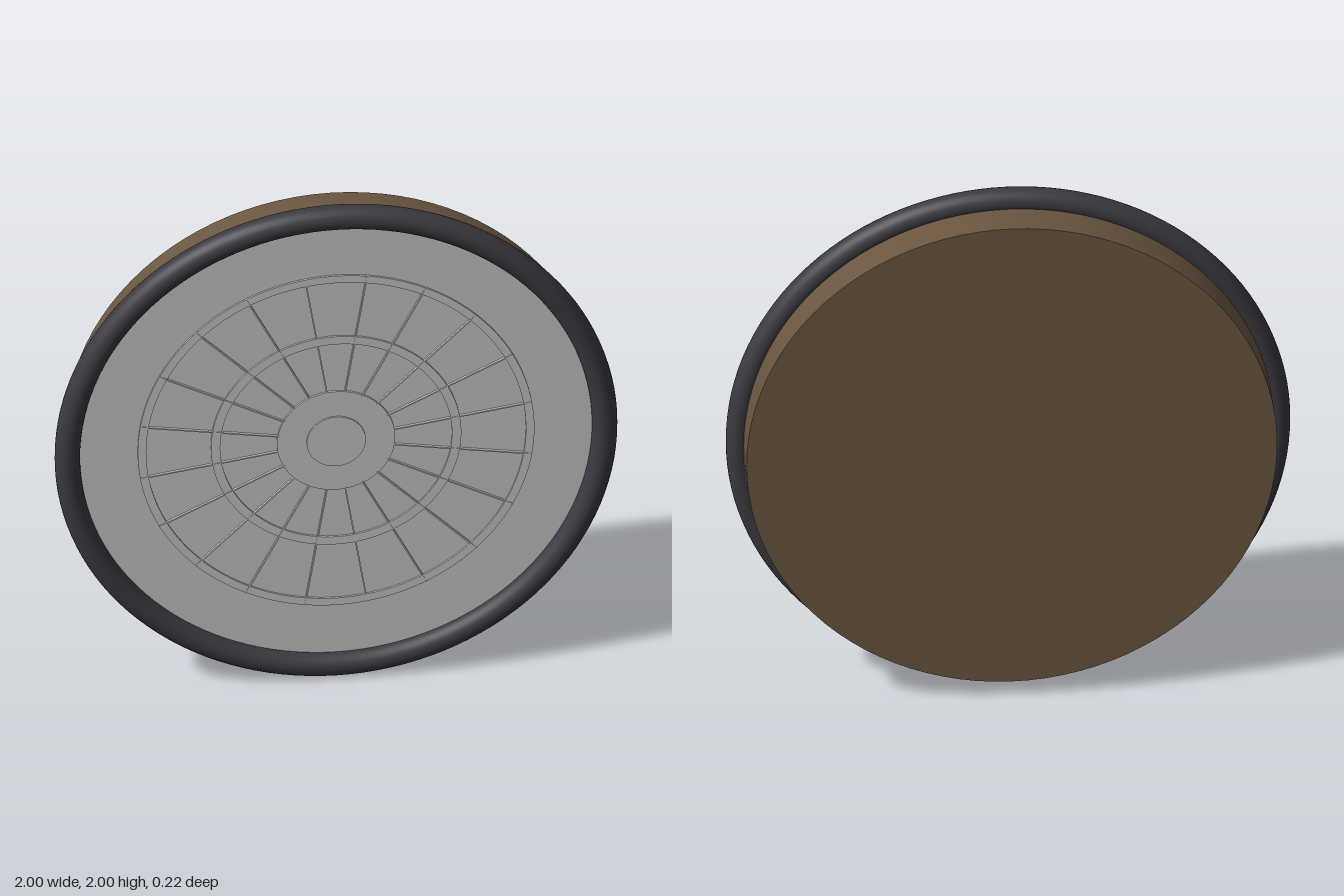
import * as THREE from 'three';

export function createModel() {
  const model = new THREE.Group();
  model.name = 'roundShield';
  const mat = (name, color) => {
    const m = new THREE.MeshStandardMaterial({ color });
    m.name = name;
    return m;
  };
  const rimDark = mat('dark rim', 0x3a3a41);
  const wood = mat('brown wood', 0x6b5640);
  const metal = mat('light grey metal', 0xc4c4c4);

  // All parts share the axis along z, at height 1
  const add = (name, geometry, material, z) => {
    const mesh = new THREE.Mesh(geometry, material);
    mesh.name = name;
    mesh.position.set(0, 1, z);
    model.add(mesh);
    return mesh;
  };
  const disc = (r, depth) => new THREE.CylinderGeometry(r, r, depth, 96).rotateX(Math.PI / 2);
  const band = (inner, outer, depth) => {
    const shape = new THREE.Shape().absarc(0, 0, outer, 0, Math.PI * 2);
    shape.holes.push(new THREE.Path().absarc(0, 0, inner, 0, Math.PI * 2, true));
    return new THREE.ExtrudeGeometry(shape, { depth, bevelEnabled: false, curveSegments: 96 });
  };

  // Body and rim
  add('backBoard', disc(0.94, 0.165), wood, -0.0275);
  add('rim', new THREE.TorusGeometry(0.955, 0.045, 24, 128), rimDark, 0.065);

  // Front plate with shallow relief
  const face = 0.062;
  add('frontPlate', disc(0.93, 0.01), metal, face - 0.005);
  add('outerBand', band(0.675, 0.705, 0.007), metal, face);
  add('innerBand', band(0.412, 0.445, 0.007), metal, face);
  add('hub', disc(0.21, 0.008), metal, face + 0.004);
  add('hubCap', disc(0.105, 0.006), metal, face + 0.011);

  // Twenty thin radial ribs
  const rib = new THREE.BoxGeometry(0.005, 0.5, 0.009).translate(0, 0.455, 0);
  for (let i = 0; i < 20; i++) {
    add('rib', rib, metal, face + 0.0045).rotation.z = ((i + 0.5) * Math.PI) / 10;
  }
  return model;
}
